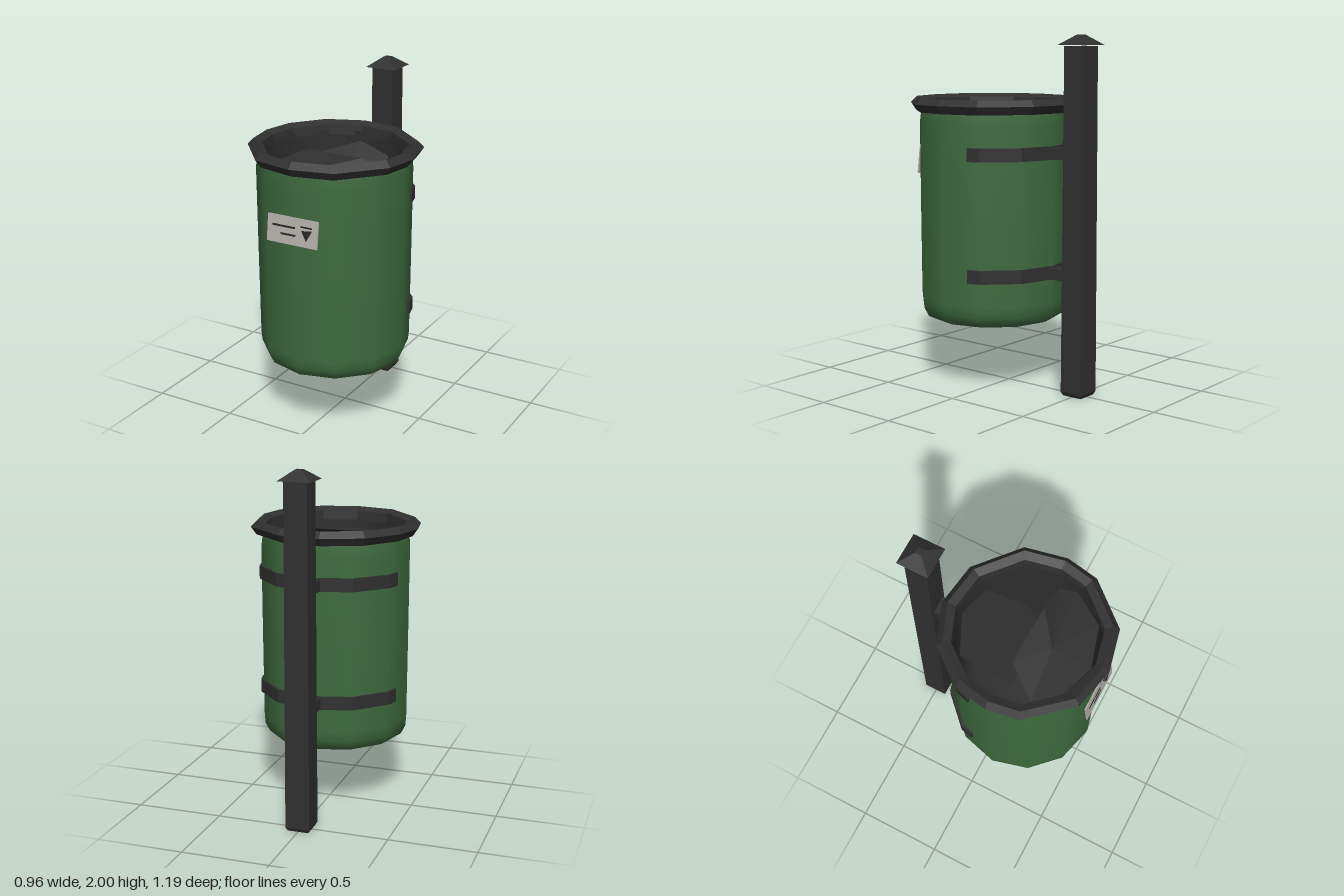
import * as THREE from 'three';

const green = new THREE.MeshStandardMaterial({ color: 0x3e6b3e });
green.name = 'green paint';
const dark = new THREE.MeshStandardMaterial({ color: 0x303030 });
dark.name = 'dark metal';
const bag = new THREE.MeshStandardMaterial({ color: 0x2e2e2e, side: THREE.DoubleSide });
bag.name = 'liner black';
const plate = new THREE.MeshStandardMaterial({ color: 0xb4afab });
plate.name = 'plate grey';
const ink = new THREE.MeshStandardMaterial({ color: 0x262626 });
ink.name = 'mark black';

const SIDES = 12, BIN_Z = 0.115, POST_Z = -0.5;

function add(parent, name, geometry, material, x = 0, y = 0, z = 0) {
  const mesh = new THREE.Mesh(geometry, material);
  mesh.name = name;
  mesh.position.set(x, y, z);
  parent.add(mesh);
  return mesh;
}

const lathe = (profile) =>
  new THREE.LatheGeometry(profile.map(([r, y]) => new THREE.Vector2(r, y)), SIDES);

function faceted(geometry) {
  const g = geometry.toNonIndexed();
  g.computeVertexNormals();
  return g;
}

// Slightly uneven twelve-sided rim: the lathe rings follow a hand-bent outline
function rimGeometry() {
  const outline = [[0, 0.48], [0.24, 0.425], [0.445, 0.19], [0.48, 0], [0.43, -0.24], [0.19, -0.445],
    [-0.06, -0.48], [-0.29, -0.39], [-0.44, -0.195], [-0.48, 0], [-0.45, 0.185], [-0.24, 0.425]];
  const profile = [[0.395, 1.575], [0.45, 1.57], [0.48, 1.615], [0.445, 1.65], [0.4, 1.63], [0.395, 1.575]];
  const g = lathe(profile);
  const pos = g.attributes.position;
  for (let i = 0; i < pos.count; i++) {
    const [x, z] = outline[Math.floor(i / profile.length) % SIDES];
    const s = profile[i % profile.length][0] / 0.48;
    pos.setX(i, x * s);
    pos.setZ(i, z * s);
  }
  return faceted(g);
}

// Strap hugging the back facets of the bin
function strapGeometry(height) {
  const angles = [110, 120, 150, 180, 210, 240, 250];
  const ring = (radius) => angles.map((deg) => {
    const a = THREE.MathUtils.degToRad(deg);
    const off = THREE.MathUtils.degToRad(((deg % 30) + 30) % 30 - 15);
    const r = radius * Math.cos(Math.PI / SIDES) / Math.cos(off);
    return new THREE.Vector2(Math.sin(a) * r, -Math.cos(a) * r);
  });
  const shape = new THREE.Shape([...ring(0.447), ...ring(0.425).reverse()]);
  const g = new THREE.ExtrudeGeometry(shape, { depth: height, bevelEnabled: false });
  return g.rotateX(-Math.PI / 2);
}

// Fan of triangles for a fold of the bin liner
function foldGeometry(centre, edge) {
  const points = [];
  for (let i = 0; i < edge.length; i++) points.push(...centre, ...edge[i], ...edge[(i + 1) % edge.length]);
  const g = new THREE.BufferGeometry();
  g.setAttribute('position', new THREE.Float32BufferAttribute(points, 3));
  g.computeVertexNormals();
  return g;
}

export function createModel() {
  const model = new THREE.Group();
  model.name = 'litterBin';

  // Post with a chamfered foot and pyramid cap
  const post = new THREE.Group();
  post.name = 'post';
  post.position.z = POST_Z;
  model.add(post);
  const squarePrism = (half0, half1, h) => faceted(
    new THREE.CylinderGeometry(half1 * Math.SQRT2, half0 * Math.SQRT2, h, 4, 1).rotateY(Math.PI / 4));
  add(post, 'postFoot', squarePrism(0.06, 0.07, 0.02), dark, 0, 0.01);
  add(post, 'postShaft', squarePrism(0.07, 0.065, 1.92), dark, 0, 0.98);
  add(post, 'postCap', squarePrism(0.092, 0.018, 0.055), dark, 0, 1.9725);

  // Bin shell, liner and rim
  const bin = new THREE.Group();
  bin.name = 'bin';
  bin.position.z = BIN_Z;
  model.add(bin);
  add(bin, 'shell', lathe([[0, 0.38], [0.37, 0.38], [0.4, 0.395], [0.425, 0.445], [0.43, 0.5],
    [0.433, 1.0], [0.435, 1.5], [0.425, 1.58]]), green);
  add(bin, 'liner', lathe([[0.405, 1.6], [0.4, 1.0], [0.37, 0.45], [0, 0.45]]), bag);
  add(bin, 'rim', rimGeometry(), dark);

  // Loose folds of the liner inside the mouth
  add(bin, 'frontFold', foldGeometry([0, 1.54, 0.15], [[-0.17, 1.58, 0], [0.18, 1.58, 0.01],
    [0.34, 1.52, 0.02], [0.36, 1.53, 0.12], [0.24, 1.53, 0.31], [0, 1.53, 0.38],
    [-0.27, 1.53, 0.28], [-0.31, 1.52, 0.18]]), bag);
  add(bin, 'backFold', foldGeometry([0, 1.38, -0.18], [[0.25, 1.3, -0.11], [0.16, 1.5, -0.33],
    [-0.04, 1.55, -0.37], [-0.24, 1.48, -0.28], [-0.17, 1.2, 0], [0.18, 1.2, 0.01]]), bag);

  // Two straps, each joined to the post by a short bracket
  for (const y of [0.64, 1.315]) {
    add(bin, 'strap', strapGeometry(0.075), dark, 0, y);
    add(model, 'bracket', new THREE.BoxGeometry(0.1, 0.062, 0.13), dark, 0, y + 0.037, -0.38);
  }

  // Tilted notice plate with plain marks
  const notice = new THREE.Group();
  notice.name = 'notice';
  notice.position.set(0, 1.265, 0.56);
  notice.rotation.x = -0.13;
  model.add(notice);
  add(notice, 'noticePlate', new THREE.BoxGeometry(0.313, 0.151, 0.008), plate);
  for (const [x, y, w, h] of [[-0.055, 0.02, 0.14, 0.01], [-0.025, -0.022, 0.09, 0.01], [0.085, 0.033, 0.07, 0.008]])
    add(notice, 'markBar', new THREE.BoxGeometry(w, h, 0.003), ink, x, y, 0.005);
  const arrow = new THREE.Shape([[0.055, 0.012], [0.088, -0.042], [0.122, 0.02]].map(([x, y]) => new THREE.Vector2(x, y)));
  add(notice, 'markTriangle', new THREE.ShapeGeometry(arrow), ink, 0, 0, 0.0062);

  return model;
}
